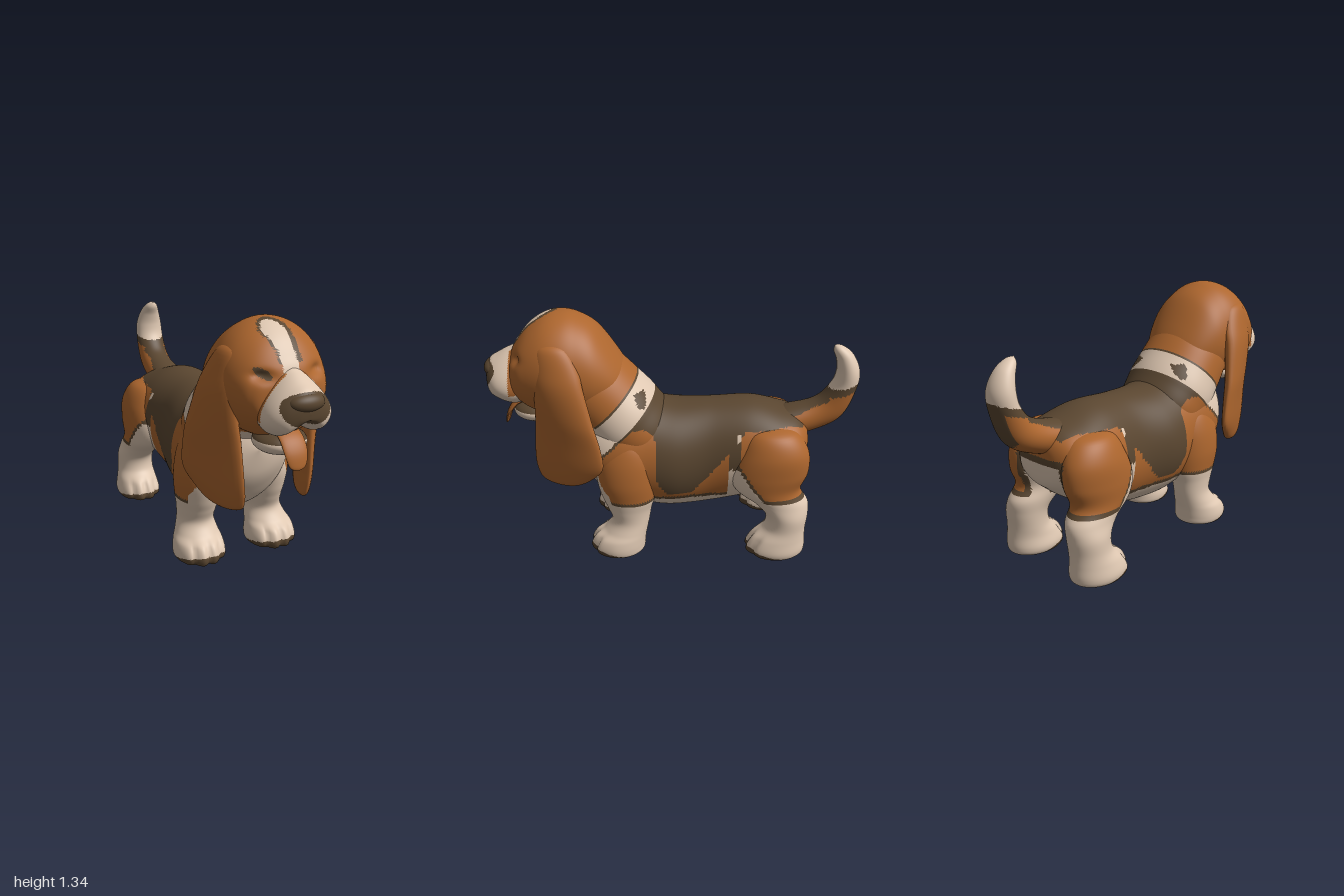
import * as THREE from 'three';

const material = (name, color) => {
  const m = new THREE.MeshStandardMaterial({ color });
  m.name = name;
  return m;
};
const MATERIALS = [material('cream', 0xdfc8b2), material('darkBrown', 0x5a4630), material('tan', 0xad662e)];
const CREAM = 0, DARK = 1, TAN = 2;
const oval = (u, v, ru, rv) => (u / ru) ** 2 + (v / rv) ** 2 < 1;

// Catmull-Rom blend of whole section rows
function section(rows, t) {
  const i = Math.min(Math.floor(t), rows.length - 2), f = t - i;
  const row = k => rows[THREE.MathUtils.clamp(k, 0, rows.length - 1)];
  const [p, q, r, s] = [row(i - 1), row(i), row(i + 1), row(i + 2)];
  return q.map((b, k) => b + 0.5 * f * (r[k] - p[k]
    + f * (2 * p[k] - 5 * b + 4 * r[k] - s[k] + f * (3 * (b - r[k]) + s[k] - p[k]))));
}

// Sorts triangles into one geometry group per colour, chosen at the triangle centre
function paint(geometry, rule) {
  const index = geometry.index.array, pos = geometry.attributes.position;
  const bins = MATERIALS.map(() => []);
  const centre = (get, i) => (get(index[i]) + get(index[i + 1]) + get(index[i + 2])) / 3;
  for (let i = 0; i < index.length; i += 3) {
    const x = centre(k => pos.getX(k), i), y = centre(k => pos.getY(k), i), z = centre(k => pos.getZ(k), i);
    bins[rule(x, y, z)].push(index[i], index[i + 1], index[i + 2]);
  }
  geometry.setIndex(bins.flat());
  let start = 0;
  bins.forEach((bin, k) => {
    if (bin.length) geometry.addGroup(start, bin.length, k);
    start += bin.length;
  });
}

// Smooth skin over oval sections [x, y, z, halfWidth, halfDepth, tiltDegrees]
function loft(name, rows, rule, { side = 1, shape, ring = 56, steps = 7 } = {}) {
  const verts = [], index = [], count = (rows.length - 1) * steps, p = new THREE.Vector3();
  for (let i = 0; i <= count; i++) {
    const [x, y, z, w, d, tilt] = section(rows, i / steps);
    const a = THREE.MathUtils.degToRad(tilt);
    for (let j = 0; j < ring; j++) {
      const th = j / ring * Math.PI * 2;
      const u = Math.cos(th) * Math.max(0, w), v = Math.sin(th) * Math.max(0, d);
      p.set(x + u, y + v * Math.cos(a), z + v * Math.sin(a));
      if (shape) shape(p);
      verts.push(p.x * side, p.y, p.z);
      if (i === count) continue;
      const k = (j + 1) % ring, A = i * ring + j, B = i * ring + k, C = A + ring, D = B + ring;
      if (side > 0) index.push(A, B, C, B, D, C);
      else index.push(A, C, B, B, C, D);
    }
  }
  const geometry = new THREE.BufferGeometry();
  geometry.setAttribute('position', new THREE.Float32BufferAttribute(verts, 3));
  geometry.setIndex(index);
  geometry.computeVertexNormals();
  paint(geometry, rule);
  const mesh = new THREE.Mesh(geometry, MATERIALS);
  mesh.name = name;
  return mesh;
}

function ellipsoid(name, centre, radii, rule) {
  const geometry = new THREE.SphereGeometry(1, 40, 28);
  geometry.scale(...radii).translate(...centre);
  paint(geometry, rule);
  const mesh = new THREE.Mesh(geometry, MATERIALS);
  mesh.name = name;
  return mesh;
}

// Coat pattern shared by body, neck and legs
function coat(x, y, z) {
  const a = Math.abs(x), s = y + z;
  // soles and toes
  if (y < 0.0035) return TAN;
  if (y < Math.max(0.012, 0.015 + 0.2 * (z - (z > 0 ? 0.25 : -0.61)))) return DARK;
  // chest
  if (z > 0.33 && a < 0.25 + Math.max(0, 0.47 - y) * 0.5 && y < 0.775 && y < 0.33 + (z - 0.33) * 6) return CREAM;
  if (z > -0.3 && y < 0.325) return CREAM;
  // collar band with two spots
  if (z > 0 && s > 0.975) {
    if (s > 1.19) return TAN;
    if (s > 1.165 || s < 0.995) return DARK;
    return y > 0.8 && y < 0.935 && oval(a - 0.145, z - 0.17, 0.05, 0.033) ? DARK : CREAM;
  }
  // shoulder
  if (z > 0.09) return y < 0.345 ? DARK : y < 0.765 - 10 * Math.max(0, 0.17 - z) ** 2 ? TAN : DARK;
  // saddle and flank
  if (z > -0.3) {
    if (y < 0.35) return DARK;
    return y < 0.37 + Math.max(0, -0.1 - z) * 1.25 + 15 * Math.max(0, z) ** 2 ? TAN : DARK;
  }
  const hem = Math.min(0.53, 0.35 + Math.max(0, z + 0.5) * 1.3);
  if (y < hem) return CREAM;
  // seat under the tail
  if (z < -0.58 && y < 0.63 && a < 0.17) return a < 0.14 && y < 0.595 ? CREAM : DARK;
  // haunch
  if (oval(z + 0.352, y - 0.7, 0.014, 0.02) && a > 0.15) return CREAM;
  if (y < hem + 0.025 || z > -0.36 - 5 * Math.max(0, y - 0.66) ** 2 || y > 0.775) return DARK;
  return y > 0.62 + Math.max(0, -0.6 - z) && a < 0.2 - 0.4 * Math.max(0, -0.52 - z) ? DARK : TAN;
}

// Face: blaze with a dark rim, and one dark eyelid
function face(x, y, z) {
  const off = x + 0.008 + 0.25 * Math.max(0, y - 1.22);
  const w = 0.04 + Math.max(0, 1.13 - y) * 0.6 + Math.max(0, y - 1.22) * 0.2;
  if (z > 0.6 && y > 0.95 && Math.abs(off) < w && oval(off, z - 0.85, 0.08, 0.225)) return CREAM;
  if (y > 1.17 && off > -w - 0.012 && off < w + 0.026 && oval(off - 0.007, z - 0.85, 0.1, 0.255)) return DARK;
  return oval(x + 0.132, y - 1.13 + (x + 0.13) * 0.5, 0.036, 0.022) && z > 0.7 ? DARK : TAN;
}

function snout(x, y, z) {
  const a = Math.abs(x);
  if (z > 0.9 && oval(x, y - 1.0, 0.125, 0.078)) return DARK;
  if (a < 0.008 && y < 0.96 && z > 0.9) return DARK;
  return z < 0.85 && a > 0.042 + Math.max(0, 1.13 - y) * 0.6 ? TAN : CREAM;
}

// Tail: cream tip, dark band, dark upper side and rear streak
const tailCoat = (x, y, z) => {
  const h = y + (z + 0.92) * 0.3;
  if (h > 0.93) return CREAM;
  if (h > 0.89 || (z > -0.84 && y > 0.792 - (z + 0.72) * 0.45)) return DARK;
  return z < -0.9 && Math.abs(x) < 0.06 ? DARK : TAN;
};

// Four rounded toes on the front of a paw
const toes = (cx, cz) => p => {
  const grow = THREE.MathUtils.smoothstep(p.z, cz, cz + 0.12) * (1 - THREE.MathUtils.smoothstep(p.y, 0.09, 0.15));
  p.z += grow * 0.022 * (Math.abs(Math.sin((p.x - cx) / 0.14 * Math.PI * 2)) - 0.7);
};

export function createModel() {
  const dog = new THREE.Group();
  dog.name = 'puppy';

  dog.add(loft('body', [
    [0, 0.6, -0.745, 0, 0, 0], [0, 0.6, -0.733, 0.13, 0.11, 0], [0, 0.6, -0.68, 0.225, 0.165, 0],
    [0, 0.58, -0.58, 0.268, 0.22, 0], [0, 0.555, -0.42, 0.26, 0.285, 0], [0, 0.522, -0.2, 0.24, 0.312, 0],
    [0, 0.513, 0, 0.275, 0.318, 0], [0, 0.535, 0.15, 0.275, 0.325, 0], [0, 0.57, 0.28, 0.28, 0.33, 0],
    [0, 0.59, 0.38, 0.265, 0.29, 0], [0, 0.62, 0.46, 0.22, 0.22, 0], [0, 0.65, 0.52, 0.15, 0.14, 0],
    [0, 0.66, 0.555, 0, 0, 0]], coat, { ring: 110, steps: 11 }));

  dog.add(loft('neck', [
    [0, 0.58, 0.08, 0, 0, -45], [0, 0.62, 0.12, 0.21, 0.17, -45], [0, 0.72, 0.24, 0.26, 0.225, -45],
    [0, 0.83, 0.34, 0.255, 0.225, -45], [0, 0.95, 0.45, 0.235, 0.215, -45], [0, 1.02, 0.52, 0.18, 0.18, -45],
    [0, 1.05, 0.55, 0, 0, -45]], coat, { ring: 96, steps: 14 }));

  dog.add(loft('head', [
    [0, 0.9, 0.2, 0, 0, 0], [0, 0.9, 0.23, 0.12, 0.11, 0], [0, 0.955, 0.3, 0.19, 0.175, 0],
    [0, 1.005, 0.4, 0.24, 0.255, 0], [0, 1.03, 0.5, 0.26, 0.29, 0], [0, 1.052, 0.58, 0.265, 0.283, 0],
    [0, 1.05, 0.66, 0.26, 0.27, 0], [0, 1.035, 0.74, 0.235, 0.235, 0], [0, 1.02, 0.8, 0.2, 0.18, 0],
    [0, 1.0, 0.84, 0.14, 0.13, 0], [0, 1.0, 0.86, 0, 0, 0]], face, {
    ring: 96, steps: 12,
    // eye sockets
    shape: p => {
      if (p.z > 0.6) p.z -= 0.03 * Math.exp(-(((Math.abs(p.x) - 0.14) / 0.045) ** 2) - ((p.y - 1.12) / 0.025) ** 2);
    },
  }));

  dog.add(loft('muzzle', [
    [0, 1.0, 0.68, 0.14, 0.14, 0], [0, 0.998, 0.8, 0.165, 0.158, 0], [0, 0.99, 0.86, 0.172, 0.147, 0],
    [0, 0.985, 0.92, 0.155, 0.12, 0], [0, 0.983, 0.963, 0.115, 0.095, 0], [0, 0.985, 0.983, 0.06, 0.05, 0],
    [0, 0.985, 0.988, 0, 0, 0]], snout, {
    ring: 80, steps: 9,
    // narrow bridge, and lips parted in the middle
    shape: p => {
      p.x *= 1 - 2.4 * (p.y - 0.96);
      p.y += 0.07 * Math.max(0, 1 - Math.abs(p.x) / 0.09) * THREE.MathUtils.smoothstep(0.97 - p.y, 0, 0.1);
    },
  }));

  dog.add(ellipsoid('nose', [0, 1.027, 0.947], [0.09, 0.046, 0.053], () => DARK));
  dog.add(ellipsoid('lowerJaw', [0, 0.785, 0.735], [0.13, 0.062, 0.13], (x, y) => (y > 0.797 ? DARK : CREAM)));

  dog.add(loft('tongue', [
    [0, 0.9, 0.68, 0.05, 0.014, 10], [0, 0.865, 0.76, 0.06, 0.014, 30], [0, 0.825, 0.84, 0.062, 0.014, 45],
    [0, 0.77, 0.885, 0.06, 0.013, 65], [0, 0.71, 0.905, 0.042, 0.01, 85], [0, 0.69, 0.91, 0, 0, 90]],
    () => TAN, { ring: 24, steps: 5 }));

  dog.add(loft('tail', [
    [0, 0.7, -0.6, 0.11, 0.09, 180], [0, 0.742, -0.76, 0.092, 0.085, 200], [0, 0.8, -0.86, 0.088, 0.085, 230],
    [0, 0.91, -0.92, 0.085, 0.068, 255], [0, 1.0, -0.935, 0.08, 0.062, 270], [0, 1.08, -0.91, 0.058, 0.047, 290],
    [0, 1.13, -0.87, 0.032, 0.027, 300], [0, 1.15, -0.85, 0, 0, 304]], tailCoat, { ring: 48, steps: 9 }));

  for (const [side, prefix] of [[1, 'left'], [-1, 'right']]) {
    // Long hanging ear, its rear edge swung outwards
    dog.add(loft(prefix + 'Ear', [
      [0.19, 1.23, 0.6, 0, 0, 90], [0.2, 1.2, 0.6, 0.04, 0.075, 90], [0.228, 1.1, 0.585, 0.055, 0.115, 90],
      [0.252, 1.0, 0.575, 0.057, 0.13, 90], [0.26, 0.85, 0.56, 0.054, 0.152, 90], [0.255, 0.7, 0.548, 0.047, 0.178, 90],
      [0.251, 0.58, 0.548, 0.043, 0.187, 90], [0.243, 0.5, 0.575, 0.04, 0.155, 90], [0.235, 0.44, 0.6, 0.032, 0.1, 90],
      [0.235, 0.415, 0.605, 0, 0, 90]], () => TAN, {
      side, ring: 32, steps: 5,
      shape: p => { p.x -= 0.38 * THREE.MathUtils.clamp((1.25 - p.y) / 0.45, 0, 1) * (p.z - 0.555); },
    }));

    dog.add(loft(prefix + 'FrontLeg', [
      [0.17, 0.72, 0.24, 0, 0, 90], [0.18, 0.68, 0.24, 0.07, 0.09, 90], [0.19, 0.58, 0.25, 0.108, 0.15, 90],
      [0.2, 0.45, 0.25, 0.118, 0.16, 90], [0.2, 0.34, 0.24, 0.112, 0.145, 90], [0.2, 0.27, 0.235, 0.105, 0.122, 90],
      [0.205, 0.2, 0.23, 0.1, 0.105, 90], [0.21, 0.14, 0.255, 0.115, 0.118, 90], [0.215, 0.1, 0.285, 0.13, 0.14, 90],
      [0.215, 0.05, 0.3, 0.14, 0.15, 90], [0.215, 0.015, 0.3, 0.133, 0.145, 90], [0.215, 0.004, 0.3, 0.105, 0.115, 90],
      [0.215, 0, 0.3, 0, 0, 90]], coat, { side, shape: toes(0.215, 0.3) }));

    dog.add(loft(prefix + 'HindLeg', [
      [0.16, 0.75, -0.54, 0, 0, 90], [0.17, 0.72, -0.54, 0.09, 0.12, 90], [0.19, 0.62, -0.545, 0.125, 0.185, 90],
      [0.2, 0.5, -0.525, 0.125, 0.21, 90], [0.205, 0.4, -0.52, 0.115, 0.18, 90], [0.215, 0.32, -0.595, 0.108, 0.15, 90],
      [0.23, 0.25, -0.63, 0.108, 0.118, 90], [0.235, 0.17, -0.625, 0.108, 0.115, 90], [0.24, 0.11, -0.595, 0.118, 0.145, 90],
      [0.24, 0.05, -0.58, 0.13, 0.163, 90], [0.24, 0.015, -0.577, 0.122, 0.157, 90], [0.24, 0.004, -0.577, 0.1, 0.12, 90],
      [0.24, 0, -0.577, 0, 0, 90]], coat, { side, shape: toes(0.24, -0.58) }));
  }
  return dog;
}
